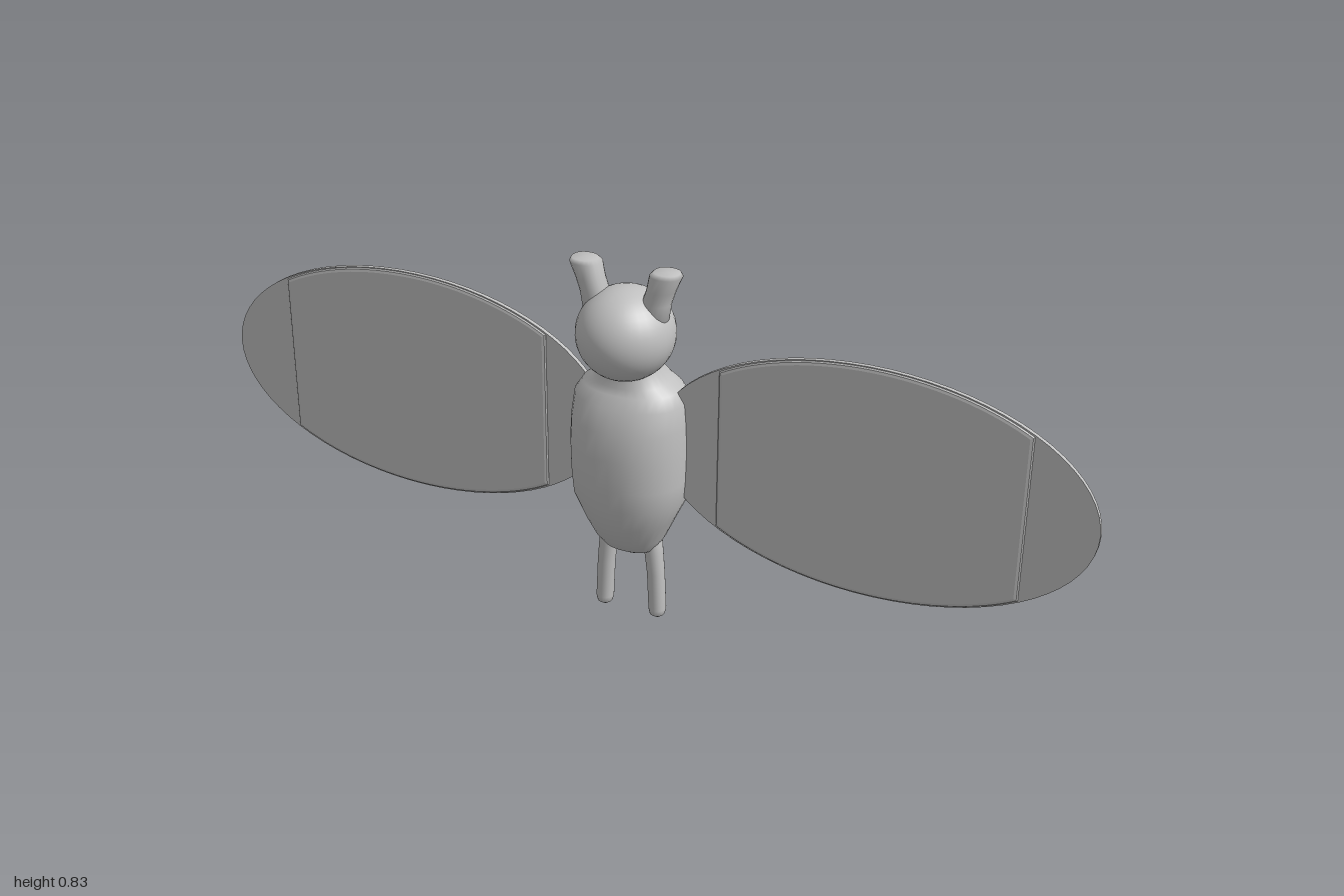
import * as THREE from 'three';

const grey = new THREE.MeshStandardMaterial({ color: 0xc0c0c0 });
grey.name = 'plain grey';

function add(parent, name, geometry) {
  const mesh = new THREE.Mesh(geometry, grey);
  mesh.name = name;
  parent.add(mesh);
  return mesh;
}

// Smooth closed skin through horizontal rings: [y, halfWidth, zFront, zBack, centreX]
function loft(rings, power = 1, n = 32) {
  const pos = [], idx = [];
  const bend = (v) => Math.sign(v) * Math.abs(v) ** power;
  for (const [y, w, zf, zb, cx = 0] of rings) {
    for (let i = 0; i < n; i++) {
      const a = (i / n) * Math.PI * 2;
      pos.push(cx + w * bend(Math.sin(a)), y, (zf + zb) / 2 + ((zf - zb) / 2) * bend(Math.cos(a)));
    }
  }
  for (let r = 0; r < rings.length - 1; r++) {
    for (let i = 0; i < n; i++) {
      const a = r * n + i, b = r * n + ((i + 1) % n);
      idx.push(a, b, b + n, a, b + n, a + n);
    }
  }
  // Caps at the first and last ring
  for (const r of [0, rings.length - 1]) {
    const [y, , zf, zb, cx = 0] = rings[r];
    const c = pos.length / 3;
    pos.push(cx, y, (zf + zb) / 2);
    for (let i = 0; i < n; i++) {
      const a = r * n + i, b = r * n + ((i + 1) % n);
      if (r === 0) idx.push(c, b, a);
      else idx.push(c, a, b);
    }
  }
  const g = new THREE.BufferGeometry();
  g.setAttribute('position', new THREE.Float32BufferAttribute(pos, 3));
  g.setIndex(idx);
  g.computeVertexNormals();
  return g;
}

// Ellipse outline cut off by two vertical lines
function wingPlate(rx, ry, x0, x1, depth, bevel) {
  const cx = 0.53, cy = 0.443;
  const t0 = Math.acos(Math.max(-1, (x0 - cx) / rx));
  const t1 = Math.acos(Math.min(1, (x1 - cx) / rx));
  const pts = [];
  const steps = 32;
  for (const s of [1, -1]) {
    for (let i = 0; i <= steps; i++) {
      const t = s > 0 ? t1 + ((t0 - t1) * i) / steps : t0 + ((t1 - t0) * i) / steps;
      if (s < 0 && i === steps && t1 === 0) continue;
      pts.push(new THREE.Vector2(cx + rx * Math.cos(t), cy + s * ry * Math.sin(t)));
    }
  }
  const g = new THREE.ExtrudeGeometry(new THREE.Shape(pts), {
    depth: depth - 2 * bevel, bevelEnabled: bevel > 0, bevelThickness: bevel,
    bevelSize: bevel * 2, bevelOffset: -bevel * 2, bevelSegments: 2,
  });
  g.translate(0, 0, -0.011 - (depth - 2 * bevel) / 2);
  return g;
}

export function createModel() {
  const model = new THREE.Group();
  model.name = 'wingedCreature';

  // Barrel body with a tapered base and shoulders
  add(model, 'body', loft([
    [0.155, 0.035, 0.012, -0.035],
    [0.17, 0.06, 0.035, -0.05],
    [0.2, 0.078, 0.06, -0.075],
    [0.25, 0.1, 0.086, -0.105],
    [0.3, 0.124, 0.098, -0.113],
    [0.35, 0.128, 0.104, -0.122],
    [0.42, 0.13, 0.105, -0.124],
    [0.48, 0.128, 0.099, -0.12],
    [0.53, 0.124, 0.083, -0.11],
    [0.555, 0.108, 0.066, -0.098],
    [0.57, 0.085, 0.06, -0.09],
    [0.6, 0.06, 0.056, -0.07],
    [0.63, 0.06, 0.056, -0.06],
  ], 0.9));

  // Head
  const head = add(model, 'head', new THREE.SphereGeometry(1, 32, 24));
  head.scale.set(0.104, 0.1, 0.108);
  head.position.set(0, 0.68, 0.017);

  for (const side of [1, -1]) {
    const label = side > 0 ? 'left' : 'right';

    // Blunt ears leaning outward
    add(model, label + 'Ear', loft([
      [0.71, 0.03, 0.047, -0.013, side * 0.062],
      [0.76, 0.03, 0.047, -0.013, side * 0.07],
      [0.79, 0.03, 0.047, -0.013, side * 0.08],
      [0.822, 0.034, 0.048, -0.014, side * 0.09],
      [0.83, 0.028, 0.042, -0.008, side * 0.092],
    ], 0.9, 20));

    // Thin round-ended legs
    add(model, label + 'Leg', loft([
      [0, 0.009, 0.001, -0.018, side * 0.064],
      [0.006, 0.016, 0.009, -0.025, side * 0.064],
      [0.02, 0.019, 0.012, -0.028, side * 0.064],
      [0.11, 0.019, 0.012, -0.028, side * 0.06],
      [0.16, 0.02, 0.013, -0.029, side * 0.055],
      [0.22, 0.02, 0.013, -0.029, side * 0.05],
    ], 0.9, 20));

    // Flat oval wing: thin outer plate with a thicker middle panel
    const wing = new THREE.Group();
    wing.name = label + 'Wing';
    add(wing, 'wingPlate', wingPlate(0.47, 0.259, 0.08, 1, 0.01, 0));
    add(wing, 'wingPanel', wingPlate(0.463, 0.257, 0.2, 0.855, 0.019, 0.004));
    if (side < 0) wing.rotation.y = Math.PI;
    if (side < 0) wing.position.z = -0.022;
    model.add(wing);
  }

  return model;
}
